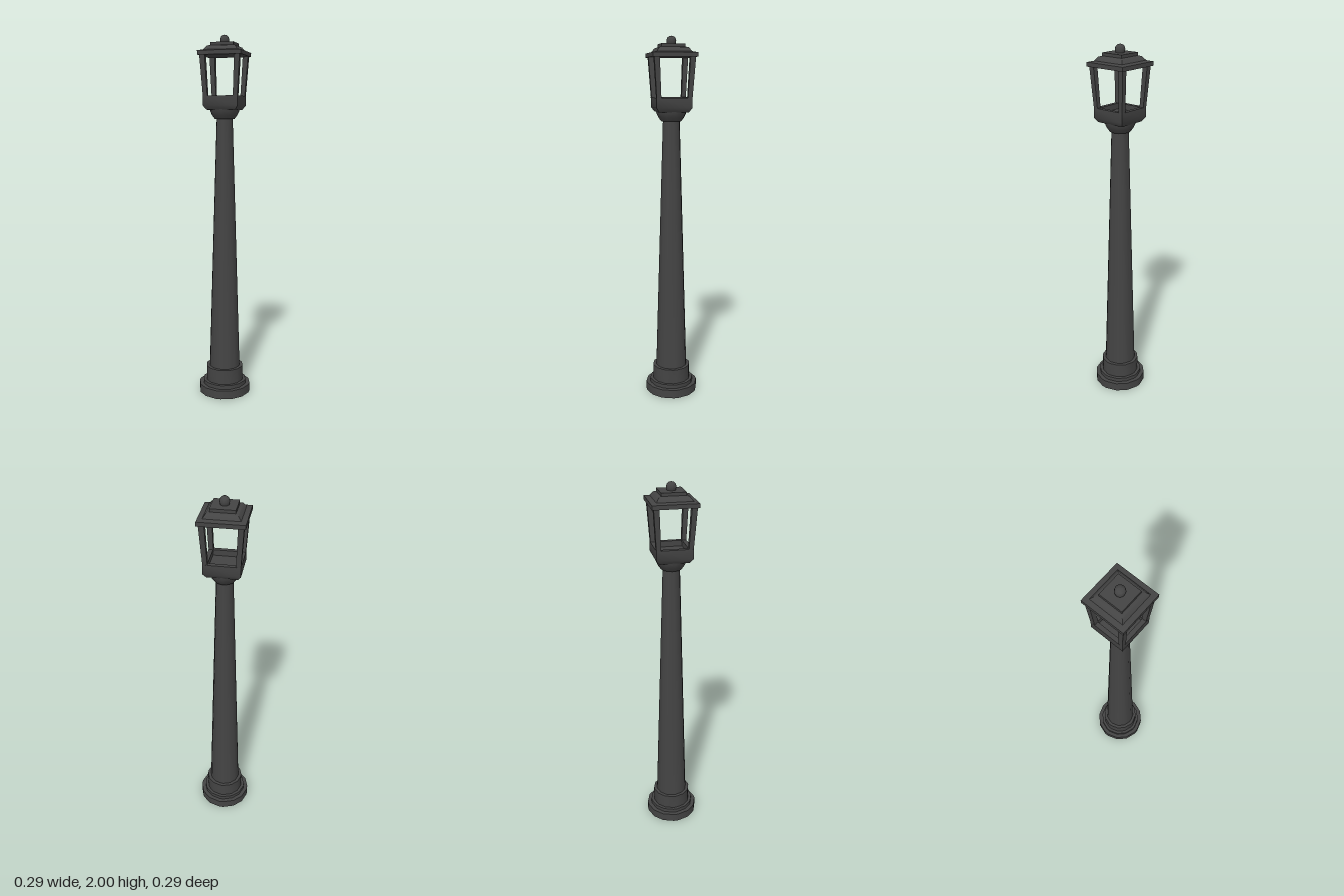
import * as THREE from 'three';
import { toCreasedNormals } from 'three/addons/utils/BufferGeometryUtils.js';

const material = new THREE.MeshStandardMaterial({ color: 0x444444 });

// Cross-sections as unit points, ordered by angle from +x towards +z
const square = [[1, -1], [1, 1], [-1, 1], [-1, -1]];
const twelveSided = [];
for (let q = 0; q < 4; q++) {
  for (const deg of [-5, 5, 32, 58]) {
    const a = THREE.MathUtils.degToRad(deg + q * 90);
    twelveSided.push([Math.cos(a), Math.sin(a)]);
  }
}
// the 58 degree corner precedes the next quarter's -5 degree corner (85), so all sixteen stay in order

// Sweeps a section up a profile of [scale, y] pairs; a scale of 0 closes an end
function loft(name, section, profile) {
  const pos = [];
  const point = ([s, y], i) => {
    const [x, z] = section[i % section.length];
    return [x * s, y, z * s];
  };
  for (let j = 0; j < profile.length - 1; j++) {
    const lo = profile[j], hi = profile[j + 1];
    for (let i = 0; i < section.length; i++) {
      const a = point(lo, i), b = point(lo, i + 1), c = point(hi, i + 1), d = point(hi, i);
      if (hi[0] > 0) pos.push(...a, ...d, ...c);
      if (lo[0] > 0) pos.push(...a, ...c, ...b);
    }
  }
  const geometry = new THREE.BufferGeometry();
  geometry.setAttribute('position', new THREE.Float32BufferAttribute(pos, 3));
  const mesh = new THREE.Mesh(toCreasedNormals(geometry, 0.65), material);
  mesh.name = name;
  return mesh;
}

// Leaning square corner post; sx and sz choose the corner
function cornerPost(sx, sz) {
  const y0 = 1.67, y1 = 1.9;
  const geometry = new THREE.BoxGeometry(1, 1, 1);
  const p = geometry.attributes.position;
  for (let i = 0; i < p.count; i++) {
    const top = p.getY(i) > 0;
    const centre = top ? 0.096 : 0.083;
    const width = top ? 0.029 : 0.024;
    p.setXYZ(i, sx * centre + p.getX(i) * width, top ? y1 : y0, sz * centre + p.getZ(i) * width);
  }
  geometry.computeVertexNormals();
  const mesh = new THREE.Mesh(geometry, material);
  mesh.name = 'cornerPost';
  return mesh;
}

export function createModel() {
  const model = new THREE.Group();
  model.name = 'lampPost';

  // Stepped foot and plinth
  model.add(loft('base', twelveSided, [
    [0, 0], [0.146, 0], [0.146, 0.048], [0.123, 0.048], [0.123, 0.07],
    [0.106, 0.07], [0.106, 0.153], [0, 0.153],
  ]));

  // Tapering column
  model.add(loft('shaft', twelveSided, [[0, 0.15], [0.088, 0.15], [0.046, 1.56], [0, 1.56]]));

  // Bowl carrying the lantern
  model.add(loft('bowl', twelveSided, [
    [0, 1.555], [0.055, 1.555], [0.07, 1.575], [0.08, 1.595], [0.084, 1.615], [0, 1.615],
  ]));

  const lantern = new THREE.Group();
  lantern.name = 'lantern';
  model.add(lantern);

  // Square tray with a raised rim
  lantern.add(loft('tray', square, [
    [0, 1.605], [0.08, 1.605], [0.096, 1.628], [0.096, 1.68],
    [0.073, 1.68], [0.073, 1.65], [0, 1.65],
  ]));

  for (const sx of [-1, 1]) for (const sz of [-1, 1]) lantern.add(cornerPost(sx, sz));

  // Roof slab with a sloping upper part and a small square cap
  lantern.add(loft('roof', square, [
    [0, 1.89], [0.119, 1.89], [0.119, 1.912], [0.093, 1.918], [0.078, 1.938],
    [0.064, 1.942], [0.064, 1.958], [0, 1.958],
  ]));

  // Ball finial
  lantern.add(loft('finial', twelveSided, [
    [0, 1.95], [0.02, 1.95], [0.025, 1.965], [0.0265, 1.975],
    [0.023, 1.988], [0.013, 1.997], [0, 2],
  ]));

  return model;
}
